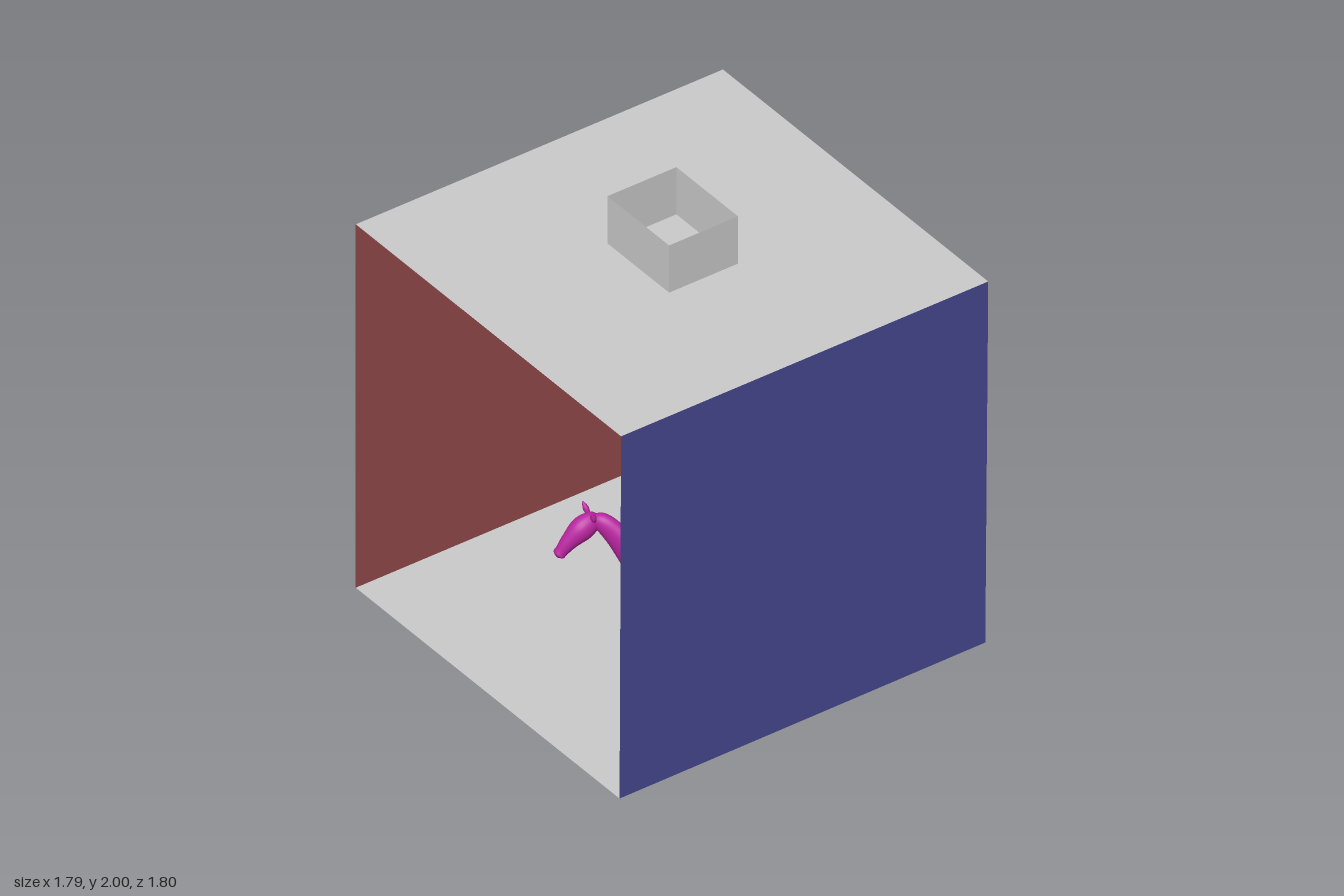
import * as THREE from 'three';

const material = (color, side = THREE.DoubleSide) => new THREE.MeshStandardMaterial({ color, side });

function addMesh(parent, name, geometry, mat) {
  const mesh = new THREE.Mesh(geometry, mat);
  mesh.name = name;
  parent.add(mesh);
  return mesh;
}

// Flat panel from four corners in order
function panel(...corners) {
  const g = new THREE.BufferGeometry();
  g.setAttribute('position', new THREE.Float32BufferAttribute(corners.flat(), 3));
  g.setIndex([0, 1, 2, 0, 2, 3]);
  g.computeVertexNormals();
  return g;
}

// Smooth closed limb through stations [x, y, z, halfDepth, halfWidth]
function loft(stations, side, sides = 24) {
  const centres = new THREE.CatmullRomCurve3(
    stations.map(s => new THREE.Vector3(s[0], s[1], s[2])), false, 'catmullrom', 0.5);
  const radii = new THREE.CatmullRomCurve3(
    stations.map(s => new THREE.Vector3(s[3], s[4] ?? s[3], 0)), false, 'catmullrom', 0.5);
  const rows = (stations.length - 1) * 6;
  const pos = [], index = [];
  for (let i = 0; i <= rows; i++) {
    const t = i / rows;
    const c = centres.getPoint(t), r = radii.getPoint(t), along = centres.getTangent(t);
    const across = new THREE.Vector3(...side).addScaledVector(along, -along.dot(new THREE.Vector3(...side))).normalize();
    const up = across.clone().cross(along);
    for (let j = 0; j < sides; j++) {
      const a = j / sides * Math.PI * 2;
      const p = c.clone().addScaledVector(up, Math.cos(a) * r.x).addScaledVector(across, Math.sin(a) * r.y);
      pos.push(p.x, Math.max(p.y, 0.002), p.z);
      if (i < rows) {
        const k = (j + 1) % sides, n = i * sides;
        index.push(n + j, n + k, n + sides + j, n + k, n + sides + k, n + sides + j);
      }
    }
  }
  const first = pos.length / 3, last = rows * sides;
  const end = stations[stations.length - 1];
  pos.push(...stations[0].slice(0, 3), ...end.slice(0, 3));
  for (let j = 0; j < sides; j++) {
    const k = (j + 1) % sides;
    index.push(first, k, j, first + 1, last + j, last + k);
  }
  const g = new THREE.BufferGeometry();
  g.setAttribute('position', new THREE.Float32BufferAttribute(pos, 3));
  g.setIndex(index);
  g.computeVertexNormals();
  return g;
}

function createRoom() {
  const room = new THREE.Group();
  room.name = 'room';
  const grey = material(0xcccccc);
  const H = 1.77, L = -0.9, R = 0.89, F = 0.9, B = -0.9;
  // The right wall leans slightly: its foot is set in from its top
  const footF = 0.88, footB = 0.87;
  addMesh(room, 'floor', panel([L, 0, F], [footF, 0, F], [footB, 0, B], [L, 0, B]), grey);
  addMesh(room, 'ceiling', panel([L, H, F], [R, H, F], [R, H, B], [L, H, B]), grey);
  addMesh(room, 'backWall', panel([L, 0, B], [footB, 0, B], [R, H, B], [L, H, B]), grey);
  addMesh(room, 'redWall', panel([L, 0, B], [L, 0, F], [L, H, F], [L, H, B]), material(0x944a4a));
  addMesh(room, 'blueWall', panel([footF, 0, F], [footB, 0, B], [R, H, B], [R, H, F]), material(0x4a4a94));

  // Open light shaft above the ceiling
  const shaft = new THREE.Group();
  shaft.name = 'lightShaft';
  const w = 0.208, d = 0.169;
  const ring = [[-w, d], [w, d], [w, -d], [-w, -d]];
  ring.forEach(([x, z], i) => {
    const [x2, z2] = ring[(i + 1) % 4];
    addMesh(shaft, 'shaftSide', panel([x, H, z], [x2, H, z2], [x2, 2, z2], [x, 2, z]), grey);
  });
  room.add(shaft);
  return room;
}

function createHorse() {
  const horse = new THREE.Group();
  horse.name = 'horse';
  const coat = material(0xb926a0, THREE.FrontSide);
  const side = [0.5, 0, 0.87], headSide = [0.97, 0, 0.22];

  addMesh(horse, 'torso', loft([
    [0.69, 0.44, 0.035, 0.012, 0.01], [0.665, 0.45, 0.05, 0.072, 0.055],
    [0.59, 0.453, 0.09, 0.102, 0.088], [0.49, 0.433, 0.15, 0.112, 0.092],
    [0.40, 0.403, 0.2, 0.113, 0.095], [0.31, 0.405, 0.25, 0.12, 0.088],
    [0.245, 0.42, 0.29, 0.11, 0.078], [0.185, 0.42, 0.325, 0.075, 0.058],
    [0.158, 0.42, 0.34, 0.015, 0.012]], side, 32), coat);

  addMesh(horse, 'neck', loft([
    [0.29, 0.42, 0.265, 0.09, 0.05], [0.245, 0.475, 0.29, 0.098, 0.064],
    [0.19, 0.55, 0.325, 0.076, 0.05], [0.132, 0.63, 0.37, 0.055, 0.038],
    [0.085, 0.68, 0.405, 0.042, 0.034], [0.055, 0.692, 0.435, 0.02, 0.02]], side), coat);

  addMesh(horse, 'head', loft([
    [0.06, 0.695, 0.405, 0.012, 0.012], [0.055, 0.685, 0.425, 0.04, 0.034],
    [0.043, 0.655, 0.475, 0.052, 0.046], [0.03, 0.61, 0.525, 0.038, 0.034],
    [0.02, 0.57, 0.557, 0.028, 0.026], [0.015, 0.553, 0.57, 0.024, 0.026],
    [0.013, 0.543, 0.577, 0.006, 0.008]], headSide), coat);

  for (const s of [-1, 1]) {
    addMesh(horse, 'ear', loft([
      [0.048 + s * 0.027, 0.695, 0.435 + s * 0.006, 0.01, 0.012],
      [0.043 + s * 0.037, 0.718, 0.44 + s * 0.008, 0.012, 0.015],
      [0.038 + s * 0.045, 0.742, 0.447 + s * 0.01, 0.003, 0.003]], headSide, 12), coat);
  }

  const legs = {
    leftForeleg: [[0.225, 0.4, 0.305, 0.06, 0.045], [0.216, 0.29, 0.307, 0.038], [0.228, 0.17, 0.322, 0.022],
      [0.226, 0.08, 0.338, 0.015], [0.205, 0.037, 0.35, 0.017], [0.192, 0, 0.36, 0.027]],
    rightForeleg: [[0.26, 0.4, 0.24, 0.06, 0.045], [0.26, 0.28, 0.205, 0.035], [0.276, 0.17, 0.19, 0.022],
      [0.282, 0.08, 0.185, 0.015], [0.267, 0.037, 0.18, 0.017], [0.257, 0, 0.18, 0.027]],
    leftHindLeg: [[0.645, 0.45, 0.1, 0.065, 0.045], [0.67, 0.35, 0.09, 0.06, 0.045], [0.738, 0.245, 0.07, 0.029],
      [0.765, 0.18, 0.06, 0.021], [0.782, 0.085, 0.055, 0.015], [0.775, 0.04, 0.055, 0.018], [0.765, 0, 0.057, 0.027]],
    rightHindLeg: [[0.6, 0.45, 0.045, 0.07, 0.045], [0.588, 0.34, 0.03, 0.055, 0.04], [0.625, 0.24, 0.01, 0.028],
      [0.648, 0.18, 0.005, 0.021], [0.65, 0.085, 0, 0.015], [0.635, 0.04, 0, 0.018], [0.622, 0.005, 0.003, 0.026]],
  };
  for (const [name, stations] of Object.entries(legs)) addMesh(horse, name, loft(stations, side, 16), coat);
  return horse;
}

export function createModel() {
  const model = new THREE.Group();
  model.name = 'roomWithHorse';
  model.add(createRoom(), createHorse());
  return model;
}
